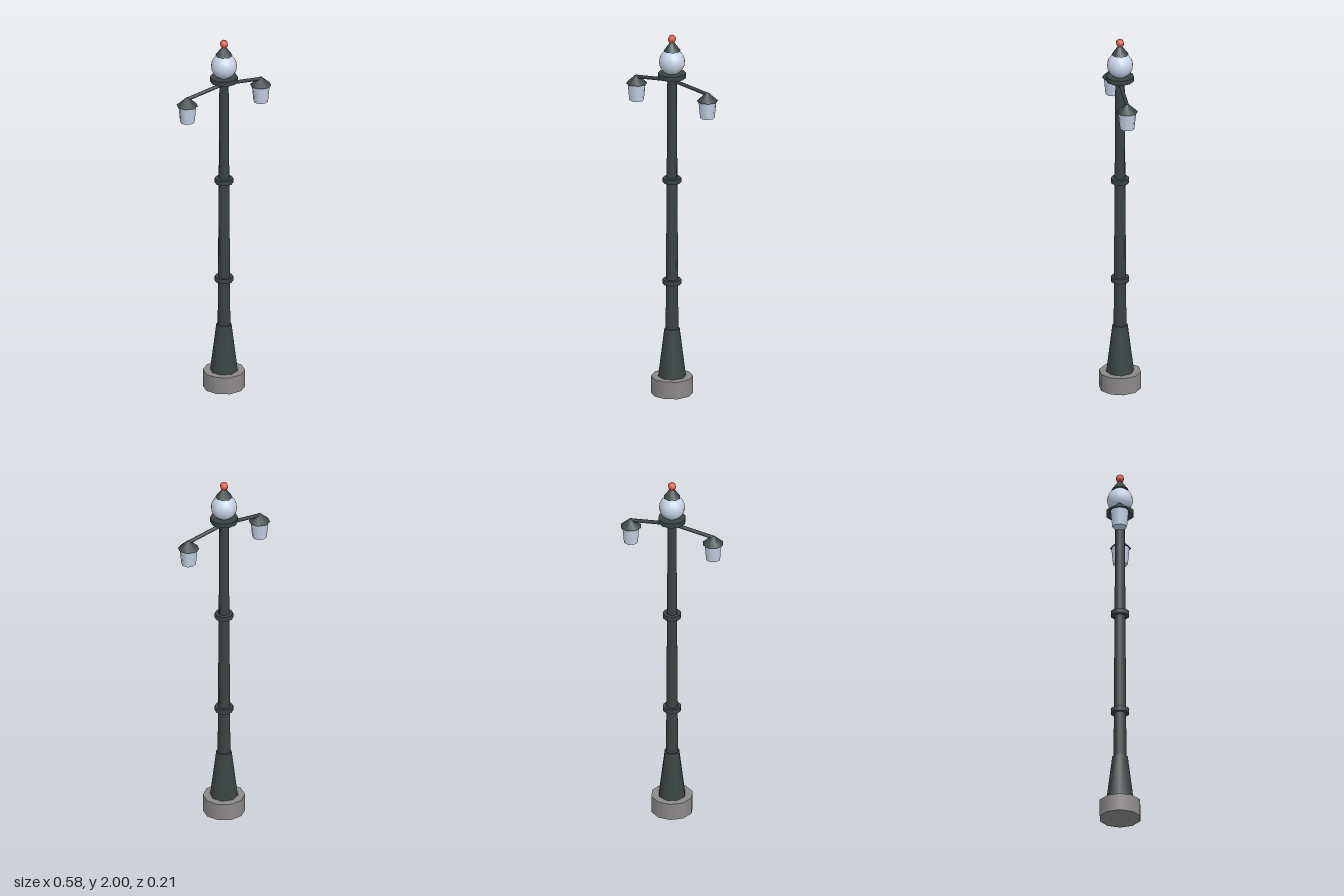
import * as THREE from 'three';

export function createModel() {
  const group = new THREE.Group();
  group.name = 'streetLamp';

  const material = (name, color) => {
    const m = new THREE.MeshStandardMaterial({ color });
    m.name = name;
    return m;
  };
  const iron = material('darkIron', 0x3a4343);
  const stone = material('greyStone', 0x8c8989);
  const glass = material('paleGlass', 0xc6d2e6);
  const red = material('redFinial', 0xd95b50);

  const add = (name, geometry, mat, x, y) => {
    const mesh = new THREE.Mesh(geometry, mat);
    mesh.name = name;
    mesh.position.set(x, y, 0);
    group.add(mesh);
    return mesh;
  };
  // Tapered round part between two heights
  const drum = (name, mat, rBottom, rTop, y0, y1, sides = 8, x = 0) =>
    add(name, new THREE.CylinderGeometry(rTop, rBottom, y1 - y0, sides), mat, x, (y0 + y1) / 2);

  // Footing and post
  drum('footing', stone, 0.112, 0.112, 0, 0.095, 10).rotation.y = Math.PI / 2;
  drum('flaredFoot', iron, 0.074, 0.041, 0.095, 0.36);
  drum('post', iron, 0.034, 0.025, 0.36, 1.77);
  for (const y of [0.623, 1.19]) {
    drum('postRing', iron, 0.049, 0.049, y - 0.013, y + 0.013, 10).rotation.y = Math.PI / 2;
  }

  // Globe lamp on top
  drum('globeCollar', iron, 0.074, 0.074, 1.762, 1.788, 10).rotation.y = Math.PI / 2;
  add('globe', new THREE.SphereGeometry(0.069, 16, 12), glass, 0, 1.85);
  drum('globeCap', iron, 0.046, 0.006, 1.912, 1.966);
  add('finial', new THREE.SphereGeometry(0.023, 6, 6), red, 0, 1.977);

  // Mirrored arms with hanging lanterns
  for (const side of [-1, 1]) {
    const start = new THREE.Vector3(0, 1.748, 0);
    const end = new THREE.Vector3(side * 0.237, 1.717, 0);
    const direction = end.clone().sub(start);
    const arm = add('arm', new THREE.CylinderGeometry(0.01, 0.01, direction.length(), 8), iron, 0, 0);
    arm.position.copy(start).add(end).multiplyScalar(0.5);
    arm.quaternion.setFromUnitVectors(new THREE.Vector3(0, 1, 0), direction.normalize());

    const x = side * 0.235;
    drum('lanternCap', iron, 0.057, 0.006, 1.681, 1.727, 8, x);
    drum('lanternGlass', glass, 0.039, 0.048, 1.587, 1.682, 8, x);
  }

  return group;
}
